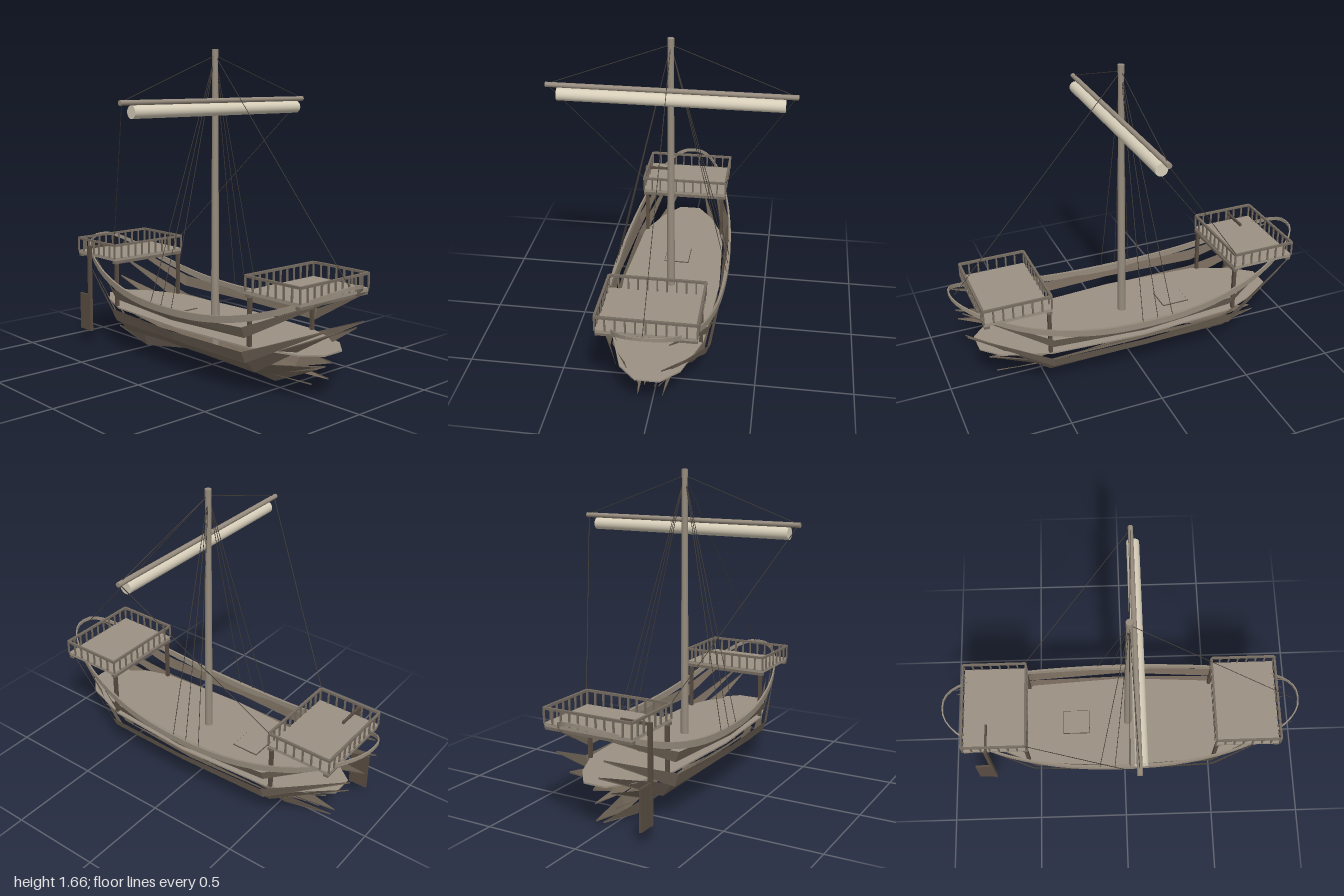
import * as THREE from 'three';

const mat = (name, color, side = THREE.FrontSide) => {
  const m = new THREE.MeshStandardMaterial({ color, side });
  m.name = name;
  return m;
};

export function createModel() {
  const ship = new THREE.Group();
  ship.name = 'ship';
  const deckWood = mat('deck wood', 0x9b9082);
  const sparWood = mat('spar wood', 0x978c7e);
  const railWood = mat('railing wood', 0x766c60);
  const darkWood = mat('dark wood', 0x594d42);
  const plankWood = mat('plank wood', 0x736759, THREE.DoubleSide);
  const canvas = mat('canvas', 0xd8cfba);
  const ropeMat = mat('rope', 0x49433b);
  plankWood.flatShading = true;

  const add = (name, geo, material, parent = ship) => {
    const m = new THREE.Mesh(geo, material);
    m.name = name;
    parent.add(m);
    return m;
  };
  // box given by its min and max corners
  const box = (name, a, b, material, parent) => {
    const g = new THREE.BoxGeometry(b[0] - a[0], b[1] - a[1], b[2] - a[2]);
    g.translate((a[0] + b[0]) / 2, (a[1] + b[1]) / 2, (a[2] + b[2]) / 2);
    return add(name, g, material, parent);
  };
  // cylinder between two points
  const rod = (name, a, b, r0, r1, material, sides = 12) => {
    const p = new THREE.Vector3(...a), q = new THREE.Vector3(...b);
    const d = q.clone().sub(p);
    const m = add(name, new THREE.CylinderGeometry(r1, r0, d.length(), sides), material);
    m.position.copy(p).lerp(q, 0.5);
    m.quaternion.setFromUnitVectors(new THREE.Vector3(0, 1, 0), d.normalize());
    return m;
  };
  // skin through equal-length cross-sections
  const loft = (rings, closeRing, closeLoop) => {
    const n = rings[0].length, idx = [];
    const last = closeLoop ? rings.length : rings.length - 1;
    for (let i = 0; i < last; i++) {
      for (let j = 0; j < (closeRing ? n : n - 1); j++) {
        const a = i * n + j, b = i * n + (j + 1) % n;
        const k = ((i + 1) % rings.length) * n;
        const c = k + j, d = k + (j + 1) % n;
        idx.push(a, c, b, b, c, d);
      }
    }
    const g = new THREE.BufferGeometry();
    g.setAttribute('position', new THREE.Float32BufferAttribute(rings.flat(2), 3));
    g.setIndex(idx);
    const flat = g.toNonIndexed();
    flat.computeVertexNormals();
    return flat;
  };

  // gunwale: a closed band sweeping up and thinning toward both ends
  const rings = [];
  for (let i = 0; i < 64; i++) {
    const t = (i / 64) * Math.PI * 2, u = Math.cos(t), s = Math.sin(t), e = Math.abs(u);
    const x = -0.02 + 0.98 * u;
    const z = 0.31 * Math.sign(s) * Math.pow(Math.abs(s), 0.85);
    const y = 0.35 + 0.238 * Math.pow(e, 2.4);
    const h = 0.018 - 0.009 * Math.pow(e, 4);
    const xi = -0.02 + (x + 0.02) * (1 - 0.007 * e), zi = z * (1 - 0.02 / (0.3 + 0.5 * e));
    rings.push([[x, y - h, z], [x, y + h, z], [xi, y + h, zi], [xi, y - h, zi]]);
  }
  add('gunwale', loft(rings, true, true), mat('gunwale wood', 0x968b7c, THREE.DoubleSide));

  // strakes: [sternTip, sternLow, sternHigh, midLow, midHigh, bowLow, bowHigh, bowTip]
  // tips are [x, y, z], the rest [y, z]
  const strakes = [
    [[-0.94, 0.53, 0.12], [0.31, 0.25], [0.365, 0.27], [0.3, 0.285], [0.335, 0.3], [0.305, 0.25], [0.36, 0.27], [0.92, 0.54, 0.12]],
    [[-0.95, 0.43, 0.13], [0.185, 0.245], [0.255, 0.27], [0.19, 0.265], [0.24, 0.285], [0.18, 0.245], [0.24, 0.27], [0.91, 0.4, 0.13]],
    [[-0.92, 0.33, 0.08], [0.125, 0.18], [0.2, 0.235], [0.14, 0.2], [0.185, 0.255], [0.12, 0.18], [0.19, 0.235], [0.91, 0.38, 0.08]],
    [[-0.78, 0.2, 0.05], [0.095, 0.1], [0.16, 0.17], [0.095, 0.11], [0.15, 0.19], [0.09, 0.1], [0.16, 0.17], [0.79, 0.19, 0.05]],
    [[-0.75, 0.12, 0.06], [0.09, 0.06], [0.11, 0.1], [0.095, 0.06], [0.11, 0.11], [0.085, 0.06], [0.105, 0.1], [0.76, 0.1, 0.06]],
    [[-0.8, 0.06, 0.02], [0.004, 0.034], [0.08, 0.06], [0.09, 0.03], [0.105, 0.08], [0.045, 0.034], [0.09, 0.065], [0.77, 0.17, 0.025]],
  ];
  for (const side of [1, -1]) {
    strakes.forEach(([st, sl, sh, ml, mh, bl, bh, bt], i) => {
      const at = (x, lo, hi) => [[x, lo[0], lo[1] * side], [x, hi[0], hi[1] * side]];
      const tip = ([x, y, z]) => [[x, y - 0.004, z * side], [x, y + 0.004, z * side]];
      const g = loft([tip(st), at(-0.52, sl, sh), at(0, ml, mh), at(0.5, bl, bh), tip(bt)], false, false);
      add(`${side > 0 ? 'left' : 'right'}Strake${i + 1}`, g, plankWood);
    });
  }

  // main deck
  const outline = new THREE.Shape([
    [-0.84, -0.06], [-0.72, -0.15], [-0.52, -0.235], [0, -0.265], [0.5, -0.235], [0.75, -0.15], [0.84, -0.06],
    [0.84, 0.06], [0.75, 0.15], [0.5, 0.235], [0, 0.265], [-0.52, 0.235], [-0.72, 0.15], [-0.84, 0.06],
  ].map(([x, z]) => new THREE.Vector2(x, z)));
  const deckGeo = new THREE.ExtrudeGeometry(outline, { depth: 0.008, bevelEnabled: false });
  deckGeo.rotateX(-Math.PI / 2);
  add('deck', deckGeo, deckWood).position.y = 0.252;

  // cargo hatch: flush lid in a thin dark frame
  box('hatchFrame', [-0.351, 0.257, -0.069], [-0.199, 0.264, 0.069], darkWood);
  box('hatchLid', [-0.348, 0.258, -0.066], [-0.202, 0.267, 0.066], deckWood);

  // raised platforms with railings
  const platform = (name, x0, x1, legX, blockX) => {
    const g = new THREE.Group();
    g.name = name;
    ship.add(g);
    const w = 0.24, t = 0.006;
    box('platformFloor', [x0, 0.515, -w], [x1, 0.533, w], deckWood, g);
    for (const z of [-w, w]) box('sideRail', [x0, 0.598, z - t], [x1, 0.61, z + t], railWood, g);
    for (const x of [x0, x1]) box('endRail', [x - t, 0.598, -w], [x + t, 0.61, w], railWood, g);
    const post = (x, z) => box('baluster', [x - 0.004, 0.53, z - 0.004], [x + 0.004, 0.6, z + 0.004], railWood, g);
    for (let i = 0; i <= 7; i++) for (const z of [-w, w]) post(x0 + ((x1 - x0) * i) / 7, z);
    for (let i = 1; i < 10; i++) for (const x of [x0, x1]) post(x, -w + (2 * w * i) / 10);
    for (const z of [-0.222, 0.222]) {
      box('platformLeg', [legX - 0.009, 0.26, z - 0.009], [legX + 0.009, 0.515, z + 0.009], darkWood, g);
    }
    for (const x of [legX, blockX]) {
      box('crossBeam', [x - 0.013, 0.5, -w], [x + 0.013, 0.516, w], railWood, g);
    }
  };
  platform('sternPlatform', -0.888, -0.54, -0.548, -0.872);
  platform('bowPlatform', 0.495, 0.845, 0.507, 0.83);

  // steering oar on the left quarter
  box('rudderBlade', [-0.852, 0.08, 0.25], [-0.75, 0.29, 0.262], darkWood);
  box('rudderPost', [-0.769, 0.08, 0.246], [-0.751, 0.575, 0.266], darkWood);
  box('tiller', [-0.766, 0.56, 0.1], [-0.754, 0.573, 0.256], darkWood);

  // mast, yard and furled sail
  rod('mast', [0.022, 0.065, 0], [0.02, 1.64, 0], 0.023, 0.015, sparWood, 16);
  rod('mastCap', [0.02, 1.625, 0], [0.02, 1.668, 0], 0.017, 0.017, sparWood);
  rod('yard', [0.048, 1.408, -0.627], [0.048, 1.408, 0.627], 0.013, 0.013, sparWood);
  rod('furledSail', [0.058, 1.364, -0.567], [0.058, 1.364, 0.567], 0.032, 0.032, canvas, 20);

  // rigging
  const rope = (name, a, b) => rod(name, a, b, 0.0018, 0.0018, ropeMat, 5);
  const top = [0.02, 1.635, 0];
  rope('forestay', top, [0.93, 0.58, 0]);
  for (const s of [1, -1]) {
    rope('yardLift', top, [0.048, 1.415, 0.61 * s]);
    rope('yardBrace', [0.048, 1.405, 0.615 * s], [-0.545, 0.605, 0.24 * s]);
    for (const x of [-0.145, -0.06, 0.025]) rope('shroud', top, [x, 0.36, 0.305 * s]);
  }
  return ship;
}
